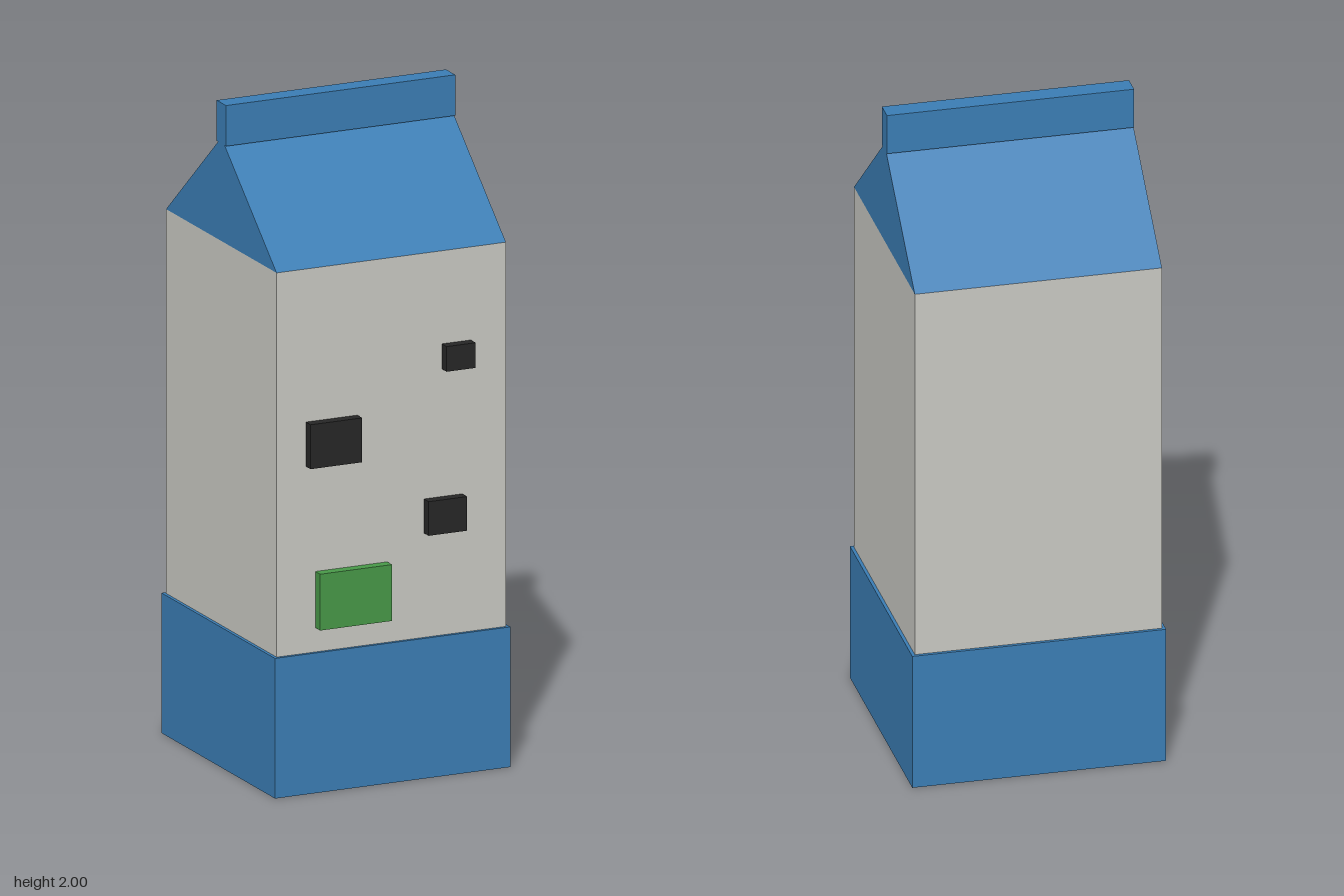
import * as THREE from 'three';

export function createModel() {
  const group = new THREE.Group();
  const flat = (name, color) => {
    const m = new THREE.MeshStandardMaterial({ color });
    m.name = name;
    return m;
  };
  const blue = flat('blue', 0x3b7db4);
  const paper = flat('paperGrey', 0xc9c9c3);
  const black = flat('black', 0x262626);
  const green = flat('green', 0x489848);

  // Box given by its extents on each axis
  const box = (name, material, [x0, x1], [y0, y1], [z0, z1]) => {
    const mesh = new THREE.Mesh(new THREE.BoxGeometry(x1 - x0, y1 - y0, z1 - z0), material);
    mesh.position.set((x0 + x1) / 2, (y0 + y1) / 2, (z0 + z1) / 2);
    mesh.name = name;
    group.add(mesh);
  };

  const half = 0.369;      // half width of the carton
  const zMid = -0.012;     // carton sits slightly back of centre
  const zFront = zMid + half;
  const shoulder = 1.583;  // top of the straight walls
  const ridge = 1.877;     // where the sealed fin starts
  const across = (h) => [-h, h];
  const deep = (h) => [zMid - h, zMid + h];

  // Carton walls and the wider band around the base
  box('cartonBody', paper, across(half), [0.01, shoulder], deep(half));
  box('baseBand', blue, across(0.379), [0, 0.423], deep(0.379));

  // Gable roof: a trapezoid profile extruded along x
  const profile = new THREE.Shape([
    new THREE.Vector2(-half, shoulder),
    new THREE.Vector2(half, shoulder),
    new THREE.Vector2(0.022, ridge),
    new THREE.Vector2(-0.022, ridge),
  ]);
  const roofGeometry = new THREE.ExtrudeGeometry(profile, { depth: half * 2, bevelEnabled: false });
  roofGeometry.translate(0, 0, -half).rotateY(Math.PI / 2);
  const roof = new THREE.Mesh(roofGeometry, blue);
  roof.position.z = zMid;
  roof.name = 'gableRoof';
  group.add(roof);

  // Sealed fin along the ridge
  box('topFin', blue, across(half), [ridge, 2], deep(0.031));

  // Raised patches on the front wall
  const patchDepth = [zFront - 0.02, 0.389];
  box('upperPatch', black, [0.163, 0.256], [1.226, 1.302], patchDepth);
  box('middlePatch', black, [-0.275, -0.109], [0.987, 1.121], patchDepth);
  box('lowerPatch', black, [0.105, 0.229], [0.738, 0.841], patchDepth);
  box('greenPatch', green, [-0.244, -0.013], [0.496, 0.666], patchDepth);

  return group;
}
